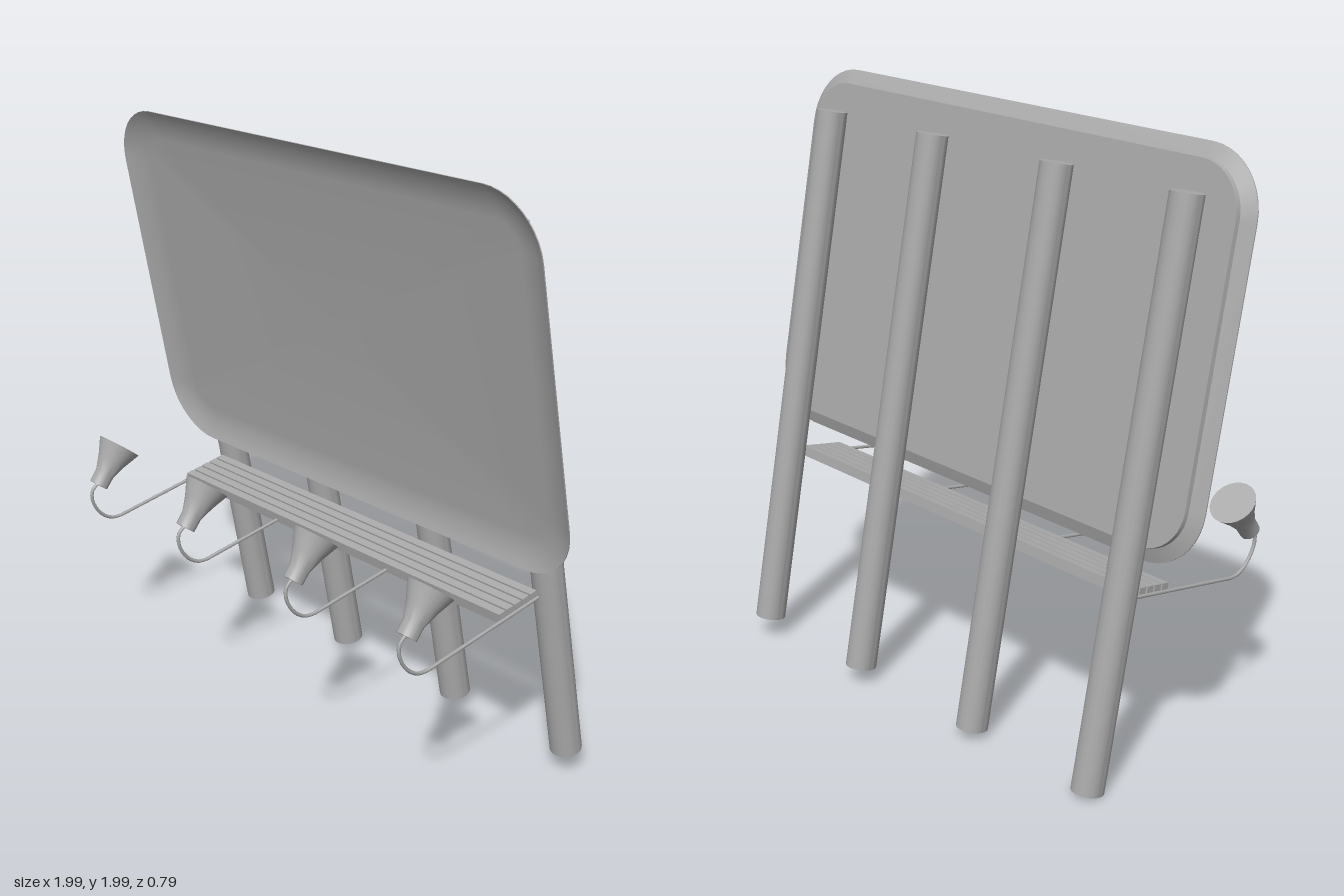
import * as THREE from 'three';
import { toCreasedNormals } from 'three/addons/utils/BufferGeometryUtils.js';

const grey = new THREE.MeshStandardMaterial({ color: 0xaaaaaa });
grey.name = 'grey';

const columns = [-0.785, -0.277, 0.277, 0.785];

function add(parent, name, geometry, x = 0, y = 0, z = 0) {
  const mesh = new THREE.Mesh(geometry, grey);
  mesh.name = name;
  mesh.position.set(x, y, z);
  parent.add(mesh);
  return mesh;
}

// Counter-clockwise rounded rectangle, shrunk by an inset
function roundedLoop(inset, z) {
  const w = 0.977 - inset, h = 0.62 - inset, r = Math.max(0.2 - inset, 0.09), steps = 10;
  const points = [];
  [[1, 1], [-1, 1], [-1, -1], [1, -1]].forEach(([sx, sy], corner) => {
    for (let i = 0; i <= steps; i++) {
      const a = (corner + i / steps) * Math.PI / 2;
      points.push([sx * (w - r) + r * Math.cos(a), sy * (h - r) + r * Math.sin(a), z]);
    }
  });
  return points;
}

// Shallow tray with a curved rim and a stepped back, stitched from loops
function boardGeometry() {
  const profile = [
    [0.11, 0.058], [0.085, 0.060], [0.06, 0.065], [0.035, 0.072], [0.015, 0.080], [0, 0.087],
    [0, 0.083], [0.045, 0.064], [0.048, 0.050],
  ];
  const loops = profile.map(([inset, z]) => roundedLoop(inset, z));
  const n = loops[0].length, positions = [], index = [];
  loops.forEach(loop => loop.forEach(p => positions.push(...p)));
  for (let k = 0; k < loops.length - 1; k++) {
    for (let i = 0; i < n; i++) {
      const j = (i + 1) % n;
      const a = k * n + i, b = k * n + j, c = a + n, d = b + n;
      index.push(a, c, d, a, d, b);
    }
  }
  // Flat front and back panels
  const last = (loops.length - 1) * n, front = loops.length * n, back = front + 1;
  positions.push(0, 0, profile[0][1], 0, 0, profile[profile.length - 1][1]);
  for (let i = 0; i < n; i++) {
    const j = (i + 1) % n;
    index.push(front, i, j, back, last + j, last + i);
  }
  const geometry = new THREE.BufferGeometry();
  geometry.setAttribute('position', new THREE.Float32BufferAttribute(positions, 3));
  geometry.setIndex(index);
  return toCreasedNormals(geometry, 0.6);
}

export function createModel() {
  const model = new THREE.Group();
  model.name = 'billboard';

  // The whole sign leans forward and slightly sideways
  const sign = new THREE.Group();
  sign.name = 'leaningSign';
  sign.rotation.set(0.159, 0, 0.042, 'ZYX');
  sign.position.set(0.045, 0.0425, -0.34);
  model.add(sign);

  add(sign, 'board', boardGeometry(), 0, 1.34, 0);

  // Support posts
  const post = toCreasedNormals(new THREE.CylinderGeometry(0.052, 0.052, 1.815, 18), 0.5);
  columns.forEach(x => add(sign, 'post', post, x, 0.9075, 0));

  // Slatted walkway in front of the posts
  const slats = 5, pitch = 0.0345;
  for (let i = 0; i < slats; i++) {
    add(sign, 'walkwaySlat', new THREE.BoxGeometry(1.57, 0.034, 0.028), 0, 0.616, 0.069 + i * pitch);
  }

  // Lamps on hooked arms
  const armPath = new THREE.CurvePath();
  const v = (y, z) => new THREE.Vector3(0, y, z);
  armPath.add(new THREE.LineCurve3(v(0.606, 0.05), v(0.606, 0.53)));
  armPath.add(new THREE.CatmullRomCurve3([
    v(0.606, 0.53), v(0.615, 0.565), v(0.651, 0.604), v(0.71, 0.625), v(0.75, 0.615), v(0.765, 0.585),
  ]));
  const arm = new THREE.TubeGeometry(armPath, 40, 0.006, 8);
  const shade = toCreasedNormals(new THREE.LatheGeometry([
    [0, 0], [0.033, 0], [0.034, 0.045], [0.05, 0.095], [0.076, 0.155], [0, 0.155],
  ].map(([x, y]) => new THREE.Vector2(x, y)), 24), 0.5);
  columns.forEach(x => {
    add(sign, 'lampArm', arm, x);
    add(sign, 'lampShade', shade, x, 0.757, 0.588).rotation.x = -0.84;
  });

  return model;
}
